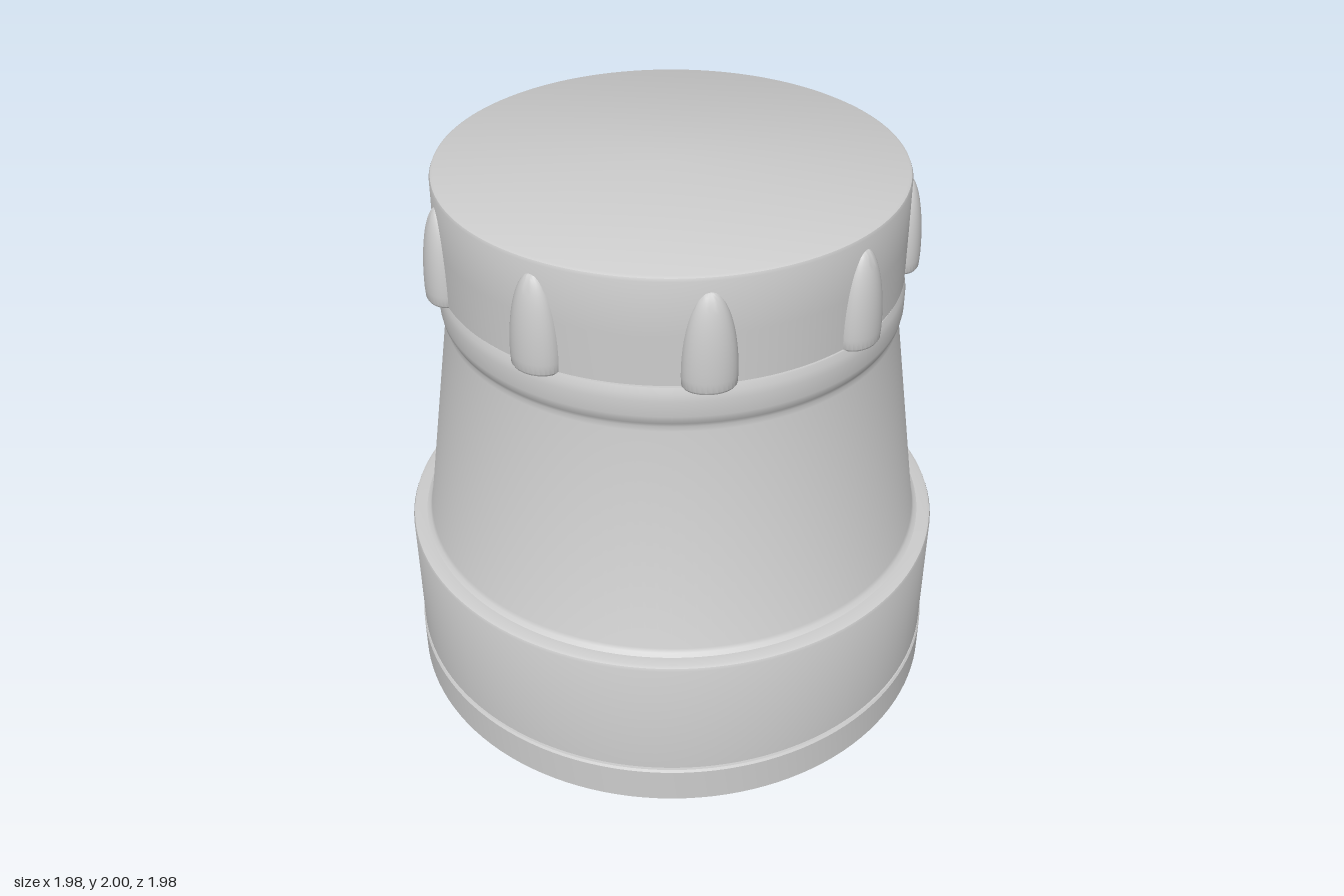
import * as THREE from 'three';
import { toCreasedNormals } from 'three/addons/utils/BufferGeometryUtils.js';

export function createModel() {
  const model = new THREE.Group();
  model.name = 'cappedJar';
  const grey = new THREE.MeshStandardMaterial({ color: 0xcccccc });
  grey.name = 'light grey';

  // Turned part from [radius, height] points, listed bottom to top
  function turned(name, points, parent) {
    const profile = points.map(([r, y]) => new THREE.Vector2(r, y));
    const mesh = new THREE.Mesh(toCreasedNormals(new THREE.LatheGeometry(profile, 128), 0.6), grey);
    mesh.name = name;
    parent.add(mesh);
    return mesh;
  }

  // Foot ring
  turned('footRing', [
    [0, 0], [0.985, 0], [0.991, 0.006], [0.991, 0.138], [0.985, 0.146], [0, 0.146],
  ], model);

  // Wide base band with a softened upper rim
  turned('baseBand', [
    [0, 0.14], [0.975, 0.14], [0.975, 0.152], [0.985, 0.158], [0.985, 0.618],
    [0.981, 0.628], [0.97, 0.633], [0.925, 0.633], [0, 0.633],
  ], model);

  // Tapering body with a fillet at the foot and a collar at the neck
  turned('body', [
    [0.945, 0.625], [0.932, 0.634], [0.92, 0.642], [0.913, 0.655],
    [0.795, 1.46], [0.793, 1.478], [0.798, 1.492], [0.806, 1.506], [0.809, 1.525],
    [0.809, 1.58], [0.805, 1.605], [0.797, 1.625], [0, 1.625],
  ], model);

  // Screw cap, set slightly towards the back
  const cap = new THREE.Group();
  cap.name = 'cap';
  cap.position.z = -0.022;
  model.add(cap);
  turned('capShell', [
    [0, 1.618], [0.803, 1.618], [0.809, 1.624], [0.808, 1.8], [0.806, 1.985],
    [0.802, 1.995], [0.793, 2], [0, 2],
  ], cap);

  // Nine bullet-shaped grip ribs
  const ribProfile = [[0, 1.618], [0.082, 1.618], [0.088, 1.626]];
  for (let i = 0; i <= 14; i++) {
    const a = (i / 14) * Math.PI / 2;
    ribProfile.push([0.09 * Math.cos(a), 1.66 + 0.29 * Math.sin(a)]);
  }
  const ribGeometry = toCreasedNormals(
    new THREE.LatheGeometry(ribProfile.map(([r, y]) => new THREE.Vector2(Math.max(r, 0), y)), 32), 0.6);
  ribGeometry.scale(1, 1, 0.72);
  ribGeometry.translate(0, 0, 0.797);
  for (let i = 0; i < 9; i++) {
    const rib = new THREE.Mesh(ribGeometry, grey);
    rib.name = 'gripRib' + (i + 1);
    rib.rotation.y = (i / 9) * Math.PI * 2;
    cap.add(rib);
  }
  return model;
}
